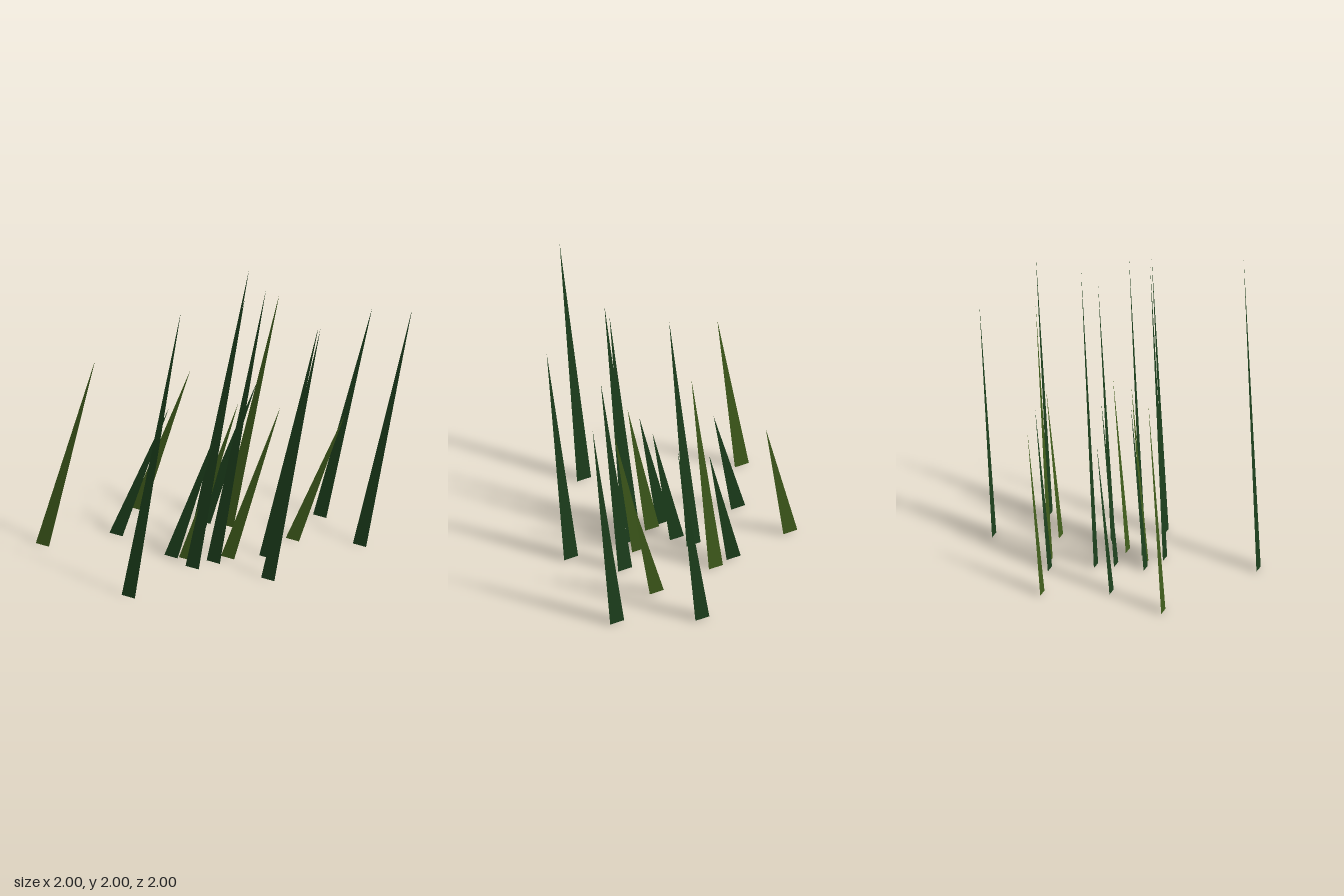
import * as THREE from 'three';

// Every blade is the same leaning flat triangle, stretched to its own height.
const WIDTH = 0.105, LEAN_X = 0.343, LEAN_Z = -0.178;

// base left x, base z, height
const DARK_BLADES = [
  [0.16, -0.82, 1.47], [0.655, -0.577, 1.66], [-0.386, -0.3, 0.98],
  [-0.247, -0.03, 1.9], [-0.193, 0.09, 1.0], [0.285, -0.06, 1.62],
  [0.06, 0.207, 1.91], [-0.215, 0.293, 1.0], [0.005, 0.363, 1.89],
  [0.515, 0.235, 1.76], [-0.72, 0.202, 0.89], [-0.04, 1.0, 2.0],
];
const OLIVE_BLADES = [
  [0.25, -0.398, 0.89], [-0.23, -0.338, 1.63], [-0.858, -0.223, 0.98],
  [0.09, 0.092, 1.06], [-0.115, 0.27, 1.1], [-1.0, 0.623, 1.3],
];

function bladeGeometry(height) {
  const geometry = new THREE.BufferGeometry();
  geometry.setAttribute('position', new THREE.Float32BufferAttribute(
    [0, 0, 0, WIDTH, 0, 0, LEAN_X, height, LEAN_Z], 3));
  geometry.computeVertexNormals();
  return geometry;
}

export function createModel() {
  const model = new THREE.Group();
  model.name = 'grassTuft';

  const darkGreen = new THREE.MeshStandardMaterial({ color: 0x1d401d, side: THREE.DoubleSide });
  darkGreen.name = 'darkGreen';
  const oliveGreen = new THREE.MeshStandardMaterial({ color: 0x405d1c, side: THREE.DoubleSide });
  oliveGreen.name = 'oliveGreen';

  // Plant each group of blades
  const plant = (name, blades, material) => {
    const group = new THREE.Group();
    group.name = name;
    blades.forEach(([x, z, height], i) => {
      const blade = new THREE.Mesh(bladeGeometry(height), material);
      blade.name = `${name}Blade${i + 1}`;
      blade.position.set(x, 0, z);
      group.add(blade);
    });
    model.add(group);
  };
  plant('darkGrass', DARK_BLADES, darkGreen);
  plant('oliveGrass', OLIVE_BLADES, oliveGreen);
  return model;
}
